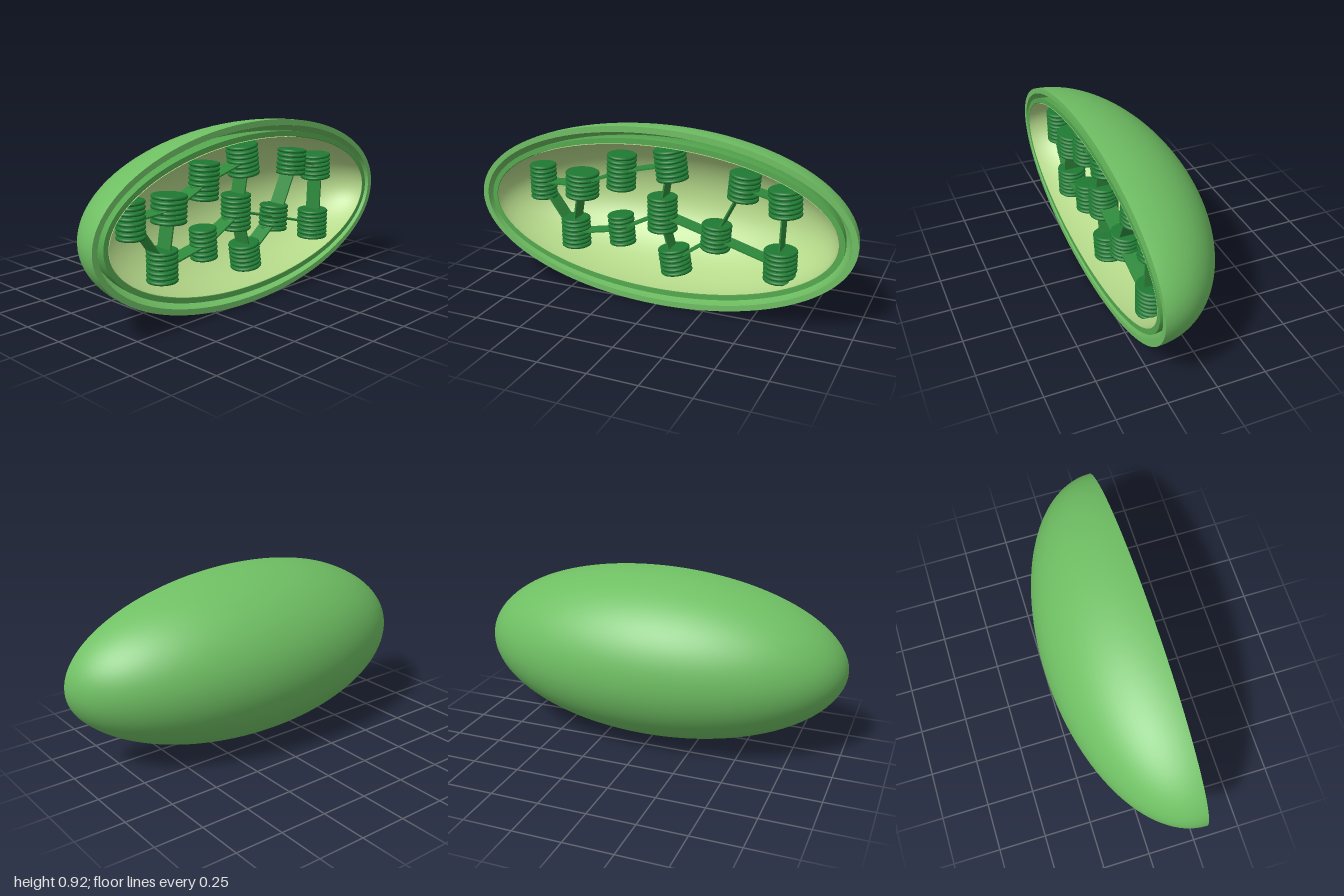
import * as THREE from 'three';

const RIM_Z = 0.27, MID_Y = 0.46;
const RADII = [1, 0.46, 0.54]; // half axes of the outer shell

const paint = (color, side = THREE.FrontSide) =>
  new THREE.MeshStandardMaterial({ color, side });

function add(parent, name, geometry, material) {
  const mesh = new THREE.Mesh(geometry, material);
  mesh.name = name;
  parent.add(mesh);
  return mesh;
}

// Half ellipsoid, open towards +z, inset evenly from the outer shell
function bowl(inset) {
  const g = new THREE.SphereGeometry(1, 96, 32, 0, Math.PI * 2, 0, Math.PI / 2);
  g.rotateX(-Math.PI / 2);
  g.scale(...RADII.map(r => r - inset));
  return g.translate(0, MID_Y, RIM_Z);
}

// Flat elliptical ring closing the cut edge between two bowls
function rim(insetOut, insetIn) {
  const shape = new THREE.Shape();
  shape.absellipse(0, 0, RADII[0] - insetOut, RADII[1] - insetOut, 0, Math.PI * 2);
  const hole = new THREE.Path();
  hole.absellipse(0, 0, RADII[0] - insetIn, RADII[1] - insetIn, 0, Math.PI * 2);
  shape.holes.push(hole);
  return new THREE.ShapeGeometry(shape, 96).translate(0, MID_Y, RIM_Z);
}

// Double-walled membrane: outer wall, inner wall and cut edge
function membrane(name, insetOut, insetIn, color) {
  const group = new THREE.Group();
  group.name = name;
  const mat = paint(color, THREE.DoubleSide);
  add(group, name + 'OuterWall', bowl(insetOut), mat);
  add(group, name + 'InnerWall', bowl(insetIn), mat);
  add(group, name + 'CutEdge', rim(insetOut, insetIn), mat);
  return group;
}

// Flat disc with a rounded edge
function discGeometry(radius, thickness) {
  const h = thickness / 2;
  const pts = [new THREE.Vector2(0, -h)];
  for (let i = 0; i <= 6; i++) {
    const a = -Math.PI / 2 + (Math.PI * i) / 6;
    pts.push(new THREE.Vector2(radius - h + h * Math.cos(a), h * Math.sin(a)));
  }
  pts.push(new THREE.Vector2(0, h));
  return new THREE.LatheGeometry(pts, 32);
}

// Stacks: x, y, disc radius, disc count, tilt in degrees
const STACK_Z = 0.155, PITCH = 0.0235;
const STACKS = [
  [-0.695, 0.54, 0.07, 8, 0],
  [-0.463, 0.55, 0.088, 6, -3],
  [-0.235, 0.647, 0.076, 8, -3],
  [0.037, 0.716, 0.082, 7, 7],
  [0.417, 0.652, 0.078, 6, -5],
  [0.623, 0.6, 0.082, 6, 3],
  [-0.51, 0.283, 0.077, 7, 0],
  [-0.24, 0.337, 0.069, 7, 4],
  [-0.01, 0.455, 0.077, 8, 0],
  [0.278, 0.374, 0.076, 6, -4],
  [0.059, 0.214, 0.081, 6, 8],
  [0.61, 0.278, 0.083, 7, 0],
];

// Pairs of stacks joined by a strip
const LINKS = [
  [0, 1], [0, 6], [1, 2], [1, 6], [2, 3], [3, 8], [6, 7], [7, 8],
  [8, 10], [8, 9], [9, 11], [9, 10], [9, 4], [4, 5], [5, 11],
];

export function createModel() {
  const model = new THREE.Group();
  model.name = 'organelle';

  // Two nested membranes with a gap between them
  model.add(membrane('outerMembrane', 0, 0.03, 0x6fbf63));
  model.add(membrane('innerMembrane', 0.06, 0.087, 0x55a84f));

  // Pale lining of the cavity
  add(model, 'cavityLining', bowl(0.09), paint(0xb5d98a, THREE.DoubleSide));

  // Stacks of discs
  const discMat = paint(0x1f7a33);
  STACKS.forEach(([x, y, radius, count, tilt]) => {
    const stack = new THREE.Group();
    stack.name = 'discStack';
    stack.position.set(x, y, STACK_Z);
    stack.rotation.z = THREE.MathUtils.degToRad(tilt);
    const disc = discGeometry(radius, 0.018);
    for (let i = 0; i < count; i++) {
      add(stack, 'disc', disc, discMat).position.y = (i - (count - 1) / 2) * PITCH;
    }
    model.add(stack);
  });

  // Thin strips joining the stacks
  const stripMat = paint(0x2f8a3c);
  LINKS.forEach(([a, b]) => {
    const [ax, ay] = STACKS[a], [bx, by] = STACKS[b];
    const length = Math.hypot(bx - ax, by - ay);
    const strip = add(model, 'connectingStrip', new THREE.BoxGeometry(length, 0.008, 0.09), stripMat);
    strip.position.set((ax + bx) / 2, (ay + by) / 2, STACK_Z);
    strip.rotation.z = Math.atan2(by - ay, bx - ax);
  });

  return model;
}
